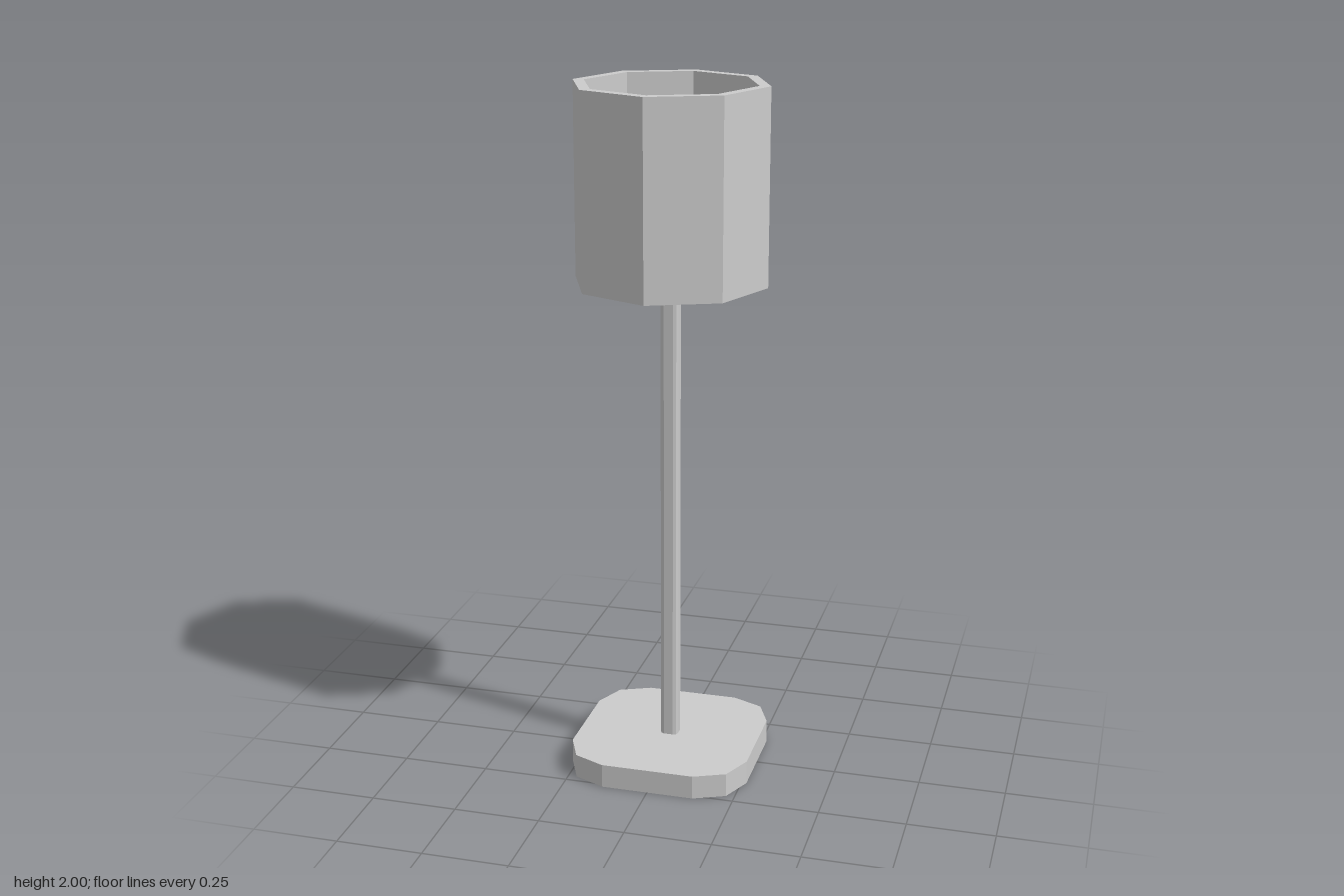
import * as THREE from 'three';

const material = new THREE.MeshStandardMaterial({ color: 0xcccccc, flatShading: true });

// Square outline with two-step clipped corners; half is the half-width.
function softSquare(half) {
  const corner = [[1, -0.51], [1, 0.51], [0.85, 0.85]];
  const points = [];
  for (let i = 0; i < 4; i++) {
    const origin = new THREE.Vector2();
    for (const [x, y] of corner.slice(1)) {
      points.push(new THREE.Vector2(x * half, y * half).rotateAround(origin, i * Math.PI / 2));
    }
    points.push(new THREE.Vector2(0.51 * half, half).rotateAround(origin, i * Math.PI / 2));
  }
  return new THREE.Shape(points);
}

function octagon(radius) {
  return Array.from({ length: 8 }, (_, i) =>
    new THREE.Vector2(Math.cos(i * Math.PI / 4) * radius, Math.sin(i * Math.PI / 4) * radius));
}

// Extrudes an outline upward from y0 to y1.
function prism(name, shape, y0, y1) {
  const geometry = new THREE.ExtrudeGeometry(shape, { depth: y1 - y0, bevelEnabled: false });
  geometry.rotateX(-Math.PI / 2).translate(0, y0, 0);
  const mesh = new THREE.Mesh(geometry, material);
  mesh.name = name;
  return mesh;
}

export function createModel() {
  const lamp = new THREE.Group();
  lamp.name = 'floorLamp';

  // Foot and pole share the same outline
  lamp.add(prism('base', softSquare(0.265), 0, 0.07));
  lamp.add(prism('pole', softSquare(0.026), 0.07, 1.74));

  // Open eight-sided shade
  const shade = new THREE.Shape(octagon(0.277));
  shade.holes.push(new THREE.Path(octagon(0.245)));
  lamp.add(prism('shade', shade, 1.45, 2));

  // Crossbar holding the shade, square to two opposite facets
  const bar = new THREE.Mesh(new THREE.BoxGeometry(0.452, 0.03, 0.03), material);
  bar.name = 'crossbar';
  bar.position.y = 1.72;
  bar.rotation.y = Math.PI / 8;
  lamp.add(bar);

  return lamp;
}
